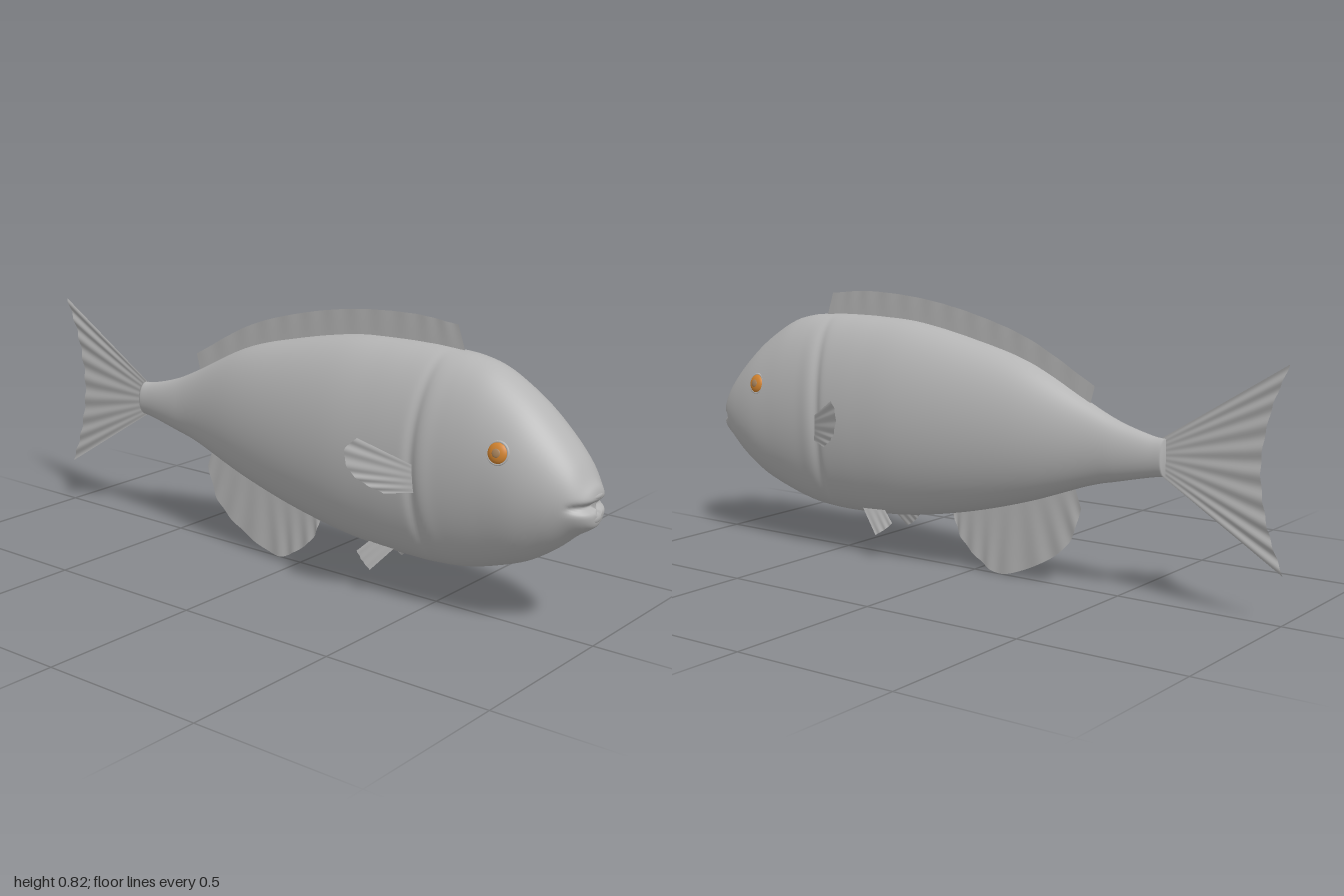
import * as THREE from 'three';

const skin = new THREE.MeshStandardMaterial({ color: 0xb4b4b4 });
skin.name = 'greySkin';
const finSkin = new THREE.MeshStandardMaterial({ color: 0xb2b2b2, side: THREE.DoubleSide });
finSkin.name = 'greyFin';
const iris = new THREE.MeshStandardMaterial({ color: 0xd0822e });
iris.name = 'orangeIris';
const pupilMat = new THREE.MeshStandardMaterial({ color: 0xa8835c });
pupilMat.name = 'tanPupil';

function mesh(name, geometry, material, parent) {
  const m = new THREE.Mesh(geometry, material);
  m.name = name;
  parent.add(m);
  return m;
}

// Indexed grid surface; point(u, v) returns [x, y, z]
function surface(nu, nv, point, wrap = false) {
  const pos = [], index = [], cols = wrap ? nv : nv + 1;
  for (let i = 0; i <= nu; i++)
    for (let j = 0; j < cols; j++) pos.push(...point(i / nu, j / nv));
  for (let i = 0; i < nu; i++)
    for (let j = 0; j < nv; j++) {
      const k = (j + 1) % cols;
      const a = i * cols + j, b = i * cols + k, c = a + cols, d = b + cols;
      index.push(a, b, c, b, d, c);
    }
  const g = new THREE.BufferGeometry();
  g.setAttribute('position', new THREE.Float32BufferAttribute(pos, 3));
  g.setIndex(index);
  g.computeVertexNormals();
  return g;
}

const spline = pts => new THREE.CatmullRomCurve3(
  pts.map(p => new THREE.Vector3(p[0], p[1], p[2] || 0)), false, 'catmullrom', 0.5);

// Body stations: x, back height, belly height, half width
const stations = [
  [-0.645, 0.47, 0.365, 0.03], [-0.6, 0.475, 0.358, 0.033], [-0.5, 0.503, 0.335, 0.045],
  [-0.4, 0.547, 0.31, 0.06], [-0.2, 0.645, 0.24, 0.105], [0, 0.70, 0.185, 0.135],
  [0.2, 0.738, 0.147, 0.153], [0.35, 0.747, 0.133, 0.154], [0.45, 0.748, 0.13, 0.152],
  [0.5, 0.747, 0.13, 0.15], [0.55, 0.744, 0.133, 0.149], [0.62, 0.738, 0.142, 0.147],
  [0.7, 0.715, 0.163, 0.143], [0.8, 0.653, 0.2, 0.135], [0.88, 0.583, 0.25, 0.116],
  [0.94, 0.517, 0.3, 0.09], [0.975, 0.462, 0.323, 0.065], [0.992, 0.437, 0.338, 0.042],
  [0.998, 0.40, 0.365, 0.018],
];
const heights = spline(stations.map(s => [s[0], s[1], s[2]]));
const widths = spline(stations.map(s => [s[0], s[3]]));

function bodyGeometry() {
  const rings = 126;
  return surface(rings, 64, (u, v) => {
    const i = Math.round(u * rings);
    const t = THREE.MathUtils.clamp((i - 1) / (rings - 2), 0, 1);
    const size = i === 0 || i === rings ? 0 : 1; // closed ends
    const h = heights.getPoint(t), w = widths.getPoint(t).y;
    const a = v * Math.PI * 2;
    let x = h.x;
    const y = (h.y + h.z) / 2 + size * (h.y - h.z) / 2 * Math.cos(a);
    let z = size * w * Math.sin(a);
    // gill groove with a raised cover edge in front of it
    const gill = 0.5 + 0.03 * Math.cos(a) ** 2;
    z *= 1 - 0.05 * Math.exp(-(((x - gill) / 0.016) ** 2))
      + 0.02 * Math.exp(-(((x - gill - 0.04) / 0.025) ** 2));
    // mouth slit
    x -= 0.02 * THREE.MathUtils.smoothstep(x, 0.93, 0.98) * Math.exp(-(((y - 0.393) / 0.012) ** 2));
    return [x, y, z];
  }, true);
}

// Fin stretched from a root line to a tip line, with fine ray ripples
function fin(root, tip, rays, ripple, depth = () => 0) {
  const r = spline(root), t = spline(tip);
  return surface(72, 6, (u, v) => {
    const p = r.getPoint(u).lerp(t.getPoint(u), v);
    const z = depth(p.x, p.y) + ripple * v * Math.sin(u * rays * Math.PI * 2);
    return [p.x, p.y, z];
  });
}

export function createModel() {
  const fish = new THREE.Group();
  fish.name = 'fish';
  mesh('body', bodyGeometry(), skin, fish);

  // Lips
  const ball = new THREE.SphereGeometry(1, 32, 20);
  const upper = mesh('upperLip', ball, skin, fish);
  upper.position.set(0.957, 0.419, 0);
  upper.scale.set(0.04, 0.02, 0.062);
  const lower = mesh('lowerLip', ball, skin, fish);
  lower.position.set(0.958, 0.36, 0);
  lower.scale.set(0.041, 0.029, 0.05);

  // Fins on the centre line
  mesh('tailFin', fin(
    [[-0.63, 0.47], [-0.63, 0.418], [-0.63, 0.368]],
    [[-1, 0.7], [-0.95, 0.57], [-0.927, 0.42], [-0.95, 0.27], [-1, 0.14]], 9, 0.003), finSkin, fish);
  mesh('dorsalFin', fin(
    [[-0.395, 0.52], [-0.2, 0.62], [0, 0.68], [0.2, 0.71], [0.4, 0.72], [0.58, 0.72]],
    [[-0.415, 0.595], [-0.2, 0.71], [0, 0.773], [0.2, 0.81], [0.4, 0.822], [0.55, 0.81]],
    12, 0.0012), finSkin, fish);
  mesh('analFin', fin(
    [[-0.35, 0.31], [-0.28, 0.28], [-0.2, 0.26], [-0.12, 0.235], [-0.03, 0.21], [0.04, 0.19], [0.085, 0.18]],
    [[-0.375, 0.24], [-0.335, 0.135], [-0.24, 0.06], [-0.1, 0.006], [-0.02, 0.035], [0.05, 0.095], [0.08, 0.165]],
    8, 0.0025), finSkin, fish);

  // Paired fins and eyes
  const pectoral = fin(
    [[0.515, 0.44], [0.52, 0.405], [0.515, 0.365]],
    [[0.375, 0.51], [0.345, 0.475], [0.355, 0.42], [0.39, 0.385], [0.44, 0.358]],
    5, 0.002, x => 0.14 + (0.515 - x) * 0.53);
  const pelvic = fin(
    [[0.31, 0.165], [0.35, 0.165], [0.4, 0.165]],
    [[0.265, 0.122], [0.29, 0.1], [0.322, 0.08]],
    3, 0.001, (x, y) => 0.055 + (0.16 - y) * 0.3);
  const rim = new THREE.TorusGeometry(0.03, 0.004, 10, 32);

  for (const [side, s] of [['left', 1], ['right', -1]]) {
    // z is mirrored from one flank to the other
    const pair = new THREE.Group();
    pair.name = s > 0 ? 'nearFlank' : 'farFlank';
    pair.scale.z = s;
    fish.add(pair);
    mesh('pectoralFin', pectoral, finSkin, pair);
    mesh('pelvicFin', pelvic, finSkin, pair);

    const eye = new THREE.Group();
    eye.name = 'eye';
    eye.position.set(0.765, 0.52, 0.126);
    eye.rotation.set(-0.2, 0.1, 0);
    pair.add(eye);
    mesh('eyeball', ball, iris, eye).scale.set(0.029, 0.029, 0.013);
    mesh('eyeRim', rim, skin, eye);
    const pupil = mesh('pupil', ball, pupilMat, eye);
    pupil.position.z = 0.01;
    pupil.scale.set(0.013, 0.013, 0.0045);
  }
  return fish;
}
